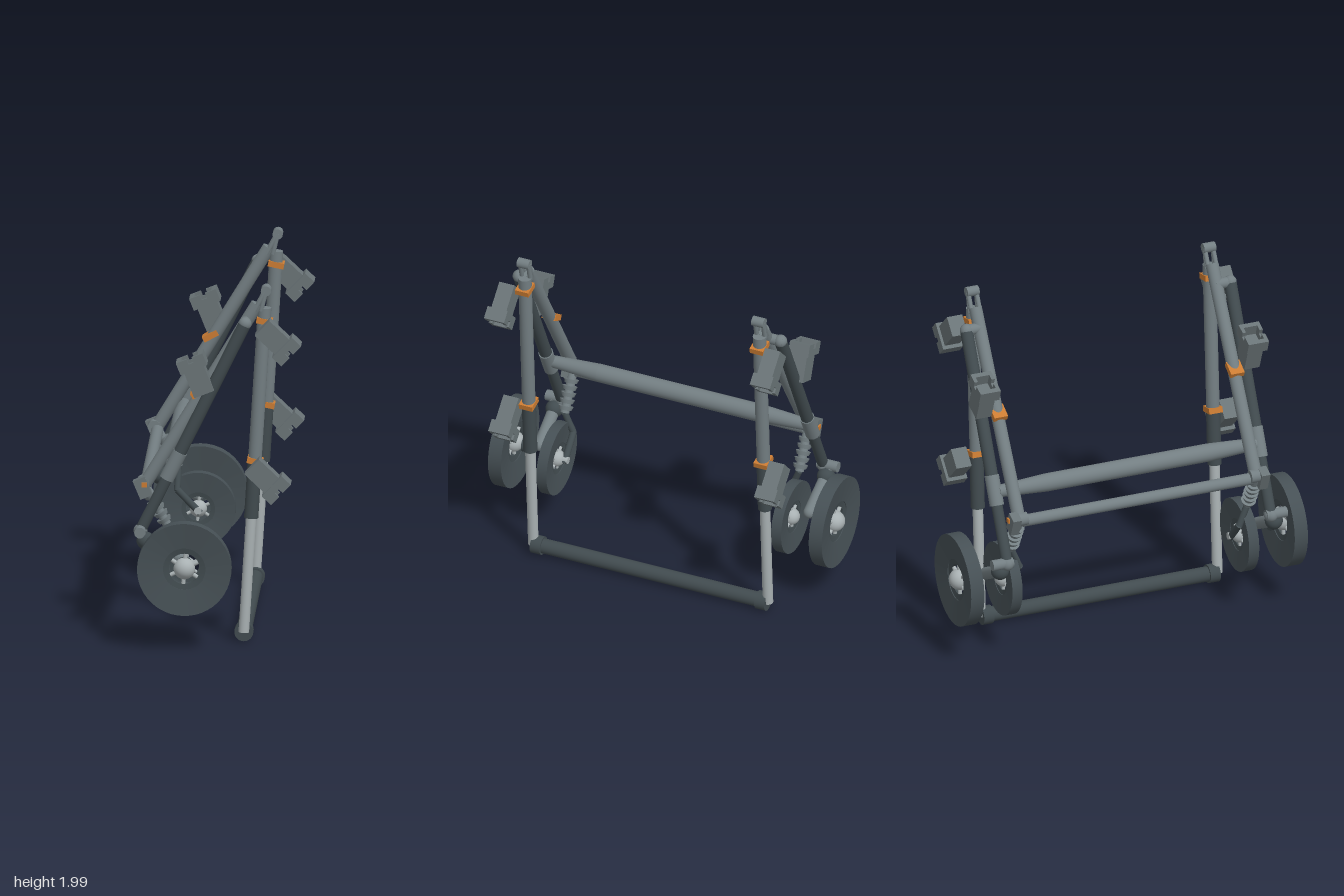
import * as THREE from 'three';
import { toCreasedNormals } from 'three/addons/utils/BufferGeometryUtils.js';

const paint = (name, color) => Object.assign(new THREE.MeshStandardMaterial({ color }), { name });

export function createModel() {
  const steel = paint('steel grey', 0x737e82);
  const clamped = paint('clamp grey', 0x6a7477);
  const dark = paint('dark steel', 0x414b4f);
  const tyre = paint('tyre grey', 0x465055);
  const pale = paint('pale metal', 0xa9b1b3);
  const orange = paint('orange', 0xcb7c33);
  const root = new THREE.Group();
  root.name = 'wheeledFrame';

  const add = (parent, name, geo, mat, pos = [0, 0, 0]) => {
    const m = new THREE.Mesh(geo, mat);
    m.name = name;
    m.position.set(...pos);
    parent.add(m);
    return m;
  };
  const box = (parent, name, size, mat, pos) => add(parent, name, new THREE.BoxGeometry(...size), mat, pos);
  const ball = (parent, name, r, mat, pos) => add(parent, name, new THREE.SphereGeometry(r, 24, 16), mat, pos);
  const up = new THREE.Vector3(0, 1, 0);
  // Round bar from a to b, optionally tapered
  const rod = (parent, name, a, b, r, mat, r2 = r) => {
    const A = new THREE.Vector3(...a), d = new THREE.Vector3(...b).sub(A);
    const m = add(parent, name, new THREE.CylinderGeometry(r2, r, d.length(), 24), mat);
    m.position.copy(A).addScaledVector(d, 0.5);
    m.quaternion.setFromUnitVectors(up, d.normalize());
    return m;
  };
  // Point at parameter t on the segment a-b
  const mix = (a, b, t) => a.map((v, i) => v + (b[i] - v) * t);

  // Dished wheel with open centre, spokes and round hub
  const wheel = (parent, name, radius, half, pos) => {
    const g = new THREE.Group();
    g.name = name;
    g.position.set(...pos);
    parent.add(g);
    const hole = radius * 0.45, lip = radius * 0.33;
    const lathe = pts => {
      const geo = new THREE.LatheGeometry(pts.map(p => new THREE.Vector2(...p)), 48);
      return toCreasedNormals(geo.rotateX(Math.PI / 2), 0.6);
    };
    add(g, 'tyre', lathe([[radius, -half], [radius, half], [hole, half * 0.55],
      [hole, -half * 0.55], [radius, -half]]), tyre);
    add(g, 'rim', lathe([[hole + 0.002, -half * 0.45], [hole + 0.002, half * 0.45], [lip, half * 0.3],
      [lip, -half * 0.3], [hole + 0.002, -half * 0.45]]), dark);
    for (let i = 0; i < 6; i++) {
      const a = i * Math.PI / 3 + 0.45;
      rod(g, 'spoke', [0, 0, 0], [Math.cos(a) * hole, Math.sin(a) * hole, 0], radius * 0.045, pale);
    }
    ball(g, 'hub', radius * 0.23, pale, [0, 0, 0]);
  };

  // Bracket with a hollow, notched square head; local y runs outward
  const clamp = (parent, x, y, z, turn) => {
    const g = new THREE.Group();
    g.name = 'clamp';
    g.position.set(x, y, z);
    g.rotation.z = turn;
    parent.add(g);
    box(g, 'clampBody', [0.115, 0.155, 0.09], clamped, [0, 0.0775, 0]);
    for (const s of [-1, 1]) {
      box(g, 'headEnd', [0.028, 0.07, 0.12], clamped, [s * 0.064, 0.185, 0]);
      box(g, 'headSide', [0.1, 0.04, 0.02], clamped, [0, 0.17, s * 0.05]);
      for (const e of [-1, 1])
        box(g, 'headTooth', [0.035, 0.03, 0.02], clamped, [e * 0.0325, 0.205, s * 0.05]);
    }
  };

  for (const s of [1, -1]) {
    const side = new THREE.Group();
    side.name = s > 0 ? 'leftFrame' : 'rightFrame';
    root.add(side);
    const Z = s * 0.7, ZO = s * 0.78;

    // Telescopic front leg
    const foot = [0.14, 0.06, Z], apex = [0.26, 1.97, Z];
    rod(side, 'legInner', foot, mix(foot, apex, 0.36), 0.029, pale);
    rod(side, 'legSleeve', mix(foot, apex, 0.335), mix(foot, apex, 0.5), 0.039, dark);
    rod(side, 'legTube', mix(foot, apex, 0.5), mix(foot, apex, 0.95), 0.037, steel);

    // Inner sloping tube running up to the apex
    const heel = [-0.40, 0.88, Z];
    rod(side, 'slopingTube', heel, mix(heel, apex, 0.93), 0.036, steel);
    rod(side, 'heelPin', [-0.41, 0.89, s * 0.66], [-0.41, 0.89, s * 0.74], 0.036, steel);
    const shoe = box(side, 'heelBracket', [0.07, 0.11, 0.05], clamped, [-0.41, 0.87, s * 0.735]);
    shoe.rotation.z = 0.4;
    box(side, 'heelTab', [0.03, 0.025, 0.01], orange, [-0.4, 0.89, s * 0.764]);

    // Fork and pin at the apex
    for (const e of [-1, 1]) {
      rod(side, 'apexFork', [0.235, 1.86, Z + e * 0.024], [0.262, 1.975, Z + e * 0.024], 0.013, steel);
      rod(side, 'apexFork', [0.2, 1.86, Z + e * 0.024], [0.262, 1.975, Z + e * 0.024], 0.013, steel);
    }
    rod(side, 'apexPin', [0.262, 1.972, Z - 0.035], [0.262, 1.972, Z + 0.035], 0.028, steel);

    // Outer sloping tube with sleeve and end knuckles
    const low = [-0.42, 0.64, ZO], high = [0.15, 1.8, ZO];
    rod(side, 'outerTubeLower', low, mix(low, high, 0.28), 0.031, dark);
    rod(side, 'outerTubeSleeve', mix(low, high, 0.25), mix(low, high, 0.38), 0.04, steel);
    rod(side, 'outerTube', mix(low, high, 0.38), high, 0.035, dark);
    ball(side, 'upperKnuckle', 0.036, steel, high);
    rod(side, 'upperPin', [0.15, 1.8, s * 0.69], [0.15, 1.8, s * 0.8], 0.03, steel);
    rod(side, 'lowerPin', [-0.42, 0.645, s * 0.75], [-0.42, 0.645, s * 0.87], 0.03, steel);
    ball(side, 'lowerKnuckle', 0.038, steel, low);

    // Trailing arm and axle to the outer wheel
    ball(side, 'armJoint', 0.05, dark, [-0.39, 0.59, s * 0.81]);
    rod(side, 'armLink', [-0.42, 0.66, s * 0.84], [-0.39, 0.59, s * 0.81], 0.02, steel);
    rod(side, 'trailingArm', [-0.39, 0.59, s * 0.81], [-0.18, 0.48, s * 0.805], 0.034, steel);
    ball(side, 'armEnd', 0.034, steel, [-0.18, 0.48, s * 0.805]);
    rod(side, 'axle', [-0.175, 0.47, s * 0.81], [-0.175, 0.47, s * 0.95], 0.017, dark);
    rod(side, 'axleFlange', [-0.175, 0.47, s * 0.867], [-0.175, 0.47, s * 0.895], 0.046, dark);
    wheel(side, 'outerWheel', 0.257, 0.039, [-0.172, 0.47, s * 0.957]);

    // Ribbed shock absorber and inner wheel
    const shockEnd = [-0.28, 0.66, Z];
    rod(side, 'shock', heel, shockEnd, 0.025, steel);
    for (let i = 0; i < 5; i++) {
      const t = 0.25 + i * 0.15;
      rod(side, 'shockRib', mix(heel, shockEnd, t), mix(heel, shockEnd, t + 0.085), 0.042, steel, 0.034);
    }
    wheel(side, 'innerWheel', 0.205, 0.03, [-0.172, 0.43, Z]);
    rod(side, 'innerStub', [-0.172, 0.43, s * 0.63], [-0.172, 0.43, Z], 0.02, pale);
    rod(side, 'innerLink', [-0.16, 0.415, s * 0.65], [-0.285, 0.545, s * 0.65], 0.019, dark);
    rod(side, 'linkBridge', [-0.285, 0.54, s * 0.65], shockEnd, 0.018, dark);

    // Clamps with orange straps
    clamp(side, 0.246, 1.788, s * 0.793, -2.33);
    clamp(side, 0.19, 1.013, s * 0.793, -2.33);
    clamp(side, -0.07, 1.415, s * 0.793, 0.38);
    for (const [x, y, a] of [[0.253, 1.802, -0.2], [0.202, 1.02, -0.2], [-0.105, 1.4, 0.5]]) {
      const strap = box(side, 'strap', [0.088, 0.032, 0.08], orange, [x, y, Z]);
      strap.rotation.z = a;
    }

    // Ends of the cross bars
    rod(side, 'footCap', [0.14, 0.06, s * 0.64], [0.14, 0.06, s * 0.7], 0.052, dark);
    rod(side, 'upperBarTaper', [-0.25, 1, s * 0.48], [-0.25, 1, s * 0.76], 0.05, steel, 0.034);
  }

  // Cross bars joining both sides
  rod(root, 'footBar', [0.14, 0.06, -0.65], [0.14, 0.06, 0.65], 0.042, dark);
  rod(root, 'upperBar', [-0.25, 1, -0.48], [-0.25, 1, 0.48], 0.05, steel);
  rod(root, 'lowerBar', [-0.395, 0.87, -0.68], [-0.395, 0.87, 0.68], 0.033, steel);
  return root;
}
